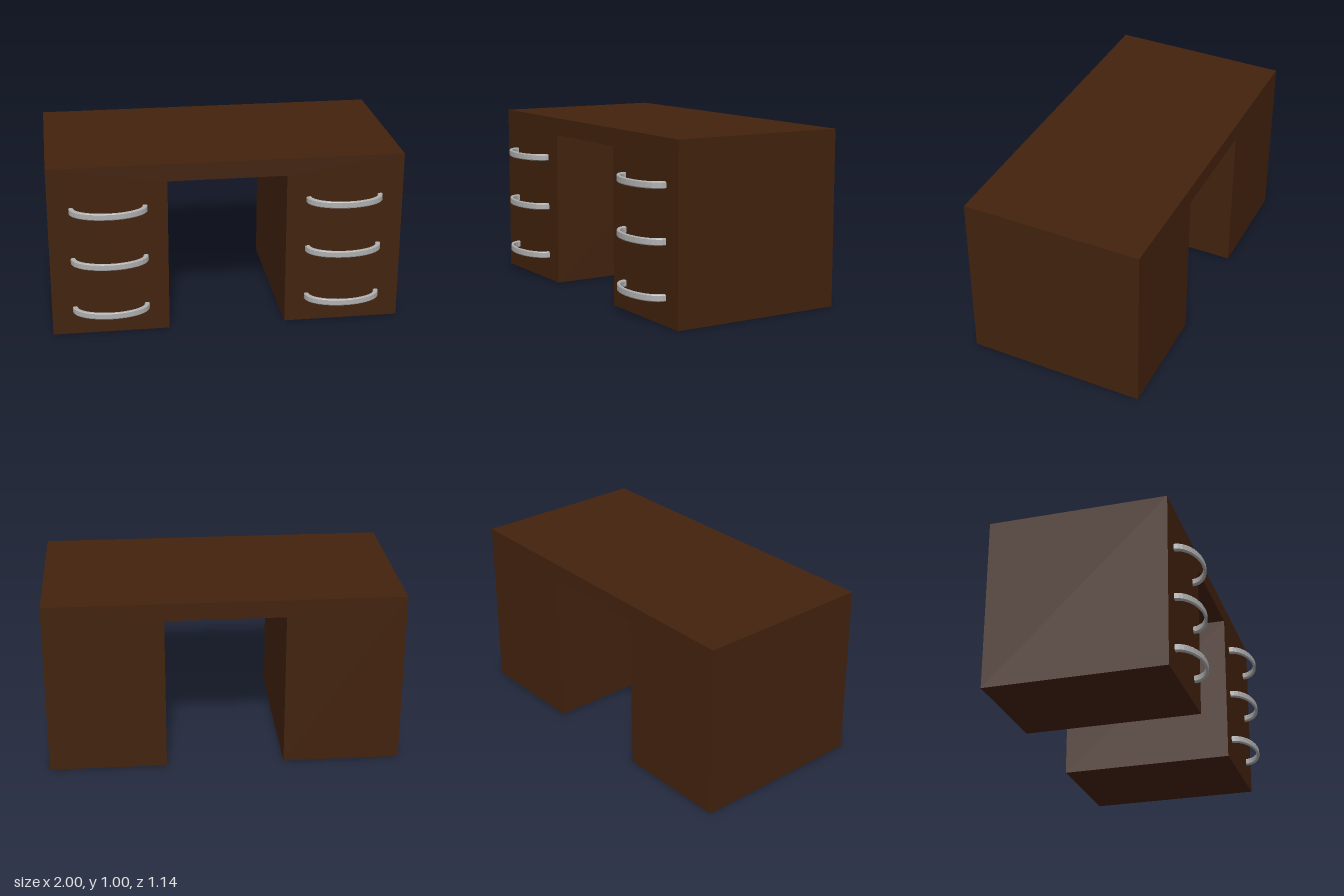
import * as THREE from 'three';

export function createModel() {
  const wood = new THREE.MeshStandardMaterial({ color: 0x42220d });
  wood.name = 'dark wood';
  const metal = new THREE.MeshStandardMaterial({ color: 0xb0b0b0 });
  metal.name = 'grey metal';
  metal.flatShading = true;

  const desk = new THREE.Group();
  desk.name = 'desk';

  // Desk body: a thick arch with a knee space running front to back
  const back = -0.57, front = 0.453;
  const outline = new THREE.Shape([
    [-1, 0], [-0.335, 0], [-0.335, 0.9], [0.335, 0.9],
    [0.335, 0], [1, 0], [1, 1], [-1, 1],
  ].map(([x, y]) => new THREE.Vector2(x, y)));
  const body = new THREE.Mesh(
    new THREE.ExtrudeGeometry(outline, { depth: front - back, bevelEnabled: false }), wood);
  body.name = 'deskBody';
  body.position.z = back;
  desk.add(body);

  // Drawer handle: chamfered bar swept round half a ring, flattened in depth
  const outer = 0.218, inner = 0.19, h = 0.019, c = 0.005;
  const section = [
    [outer - c, -h], [outer, -h + c], [outer, h - c], [outer - c, h],
    [inner + c, h], [inner, h - c], [inner, -h + c], [inner + c, -h], [outer - c, -h],
  ].map(([r, y]) => new THREE.Vector2(r, y));
  const handleGeometry = new THREE.LatheGeometry(section, 16, -Math.PI / 2, Math.PI);
  handleGeometry.scale(1, 1, 0.537);

  // Three handles on each pedestal
  for (const [side, x] of [['left', 0.665], ['right', -0.665]]) {
    [0.15, 0.45, 0.75].forEach((y, i) => {
      const handle = new THREE.Mesh(handleGeometry, metal);
      handle.name = `${side}DrawerHandle${i + 1}`;
      handle.position.set(x, y + 0.002, front);
      desk.add(handle);
    });
  }
  return desk;
}
